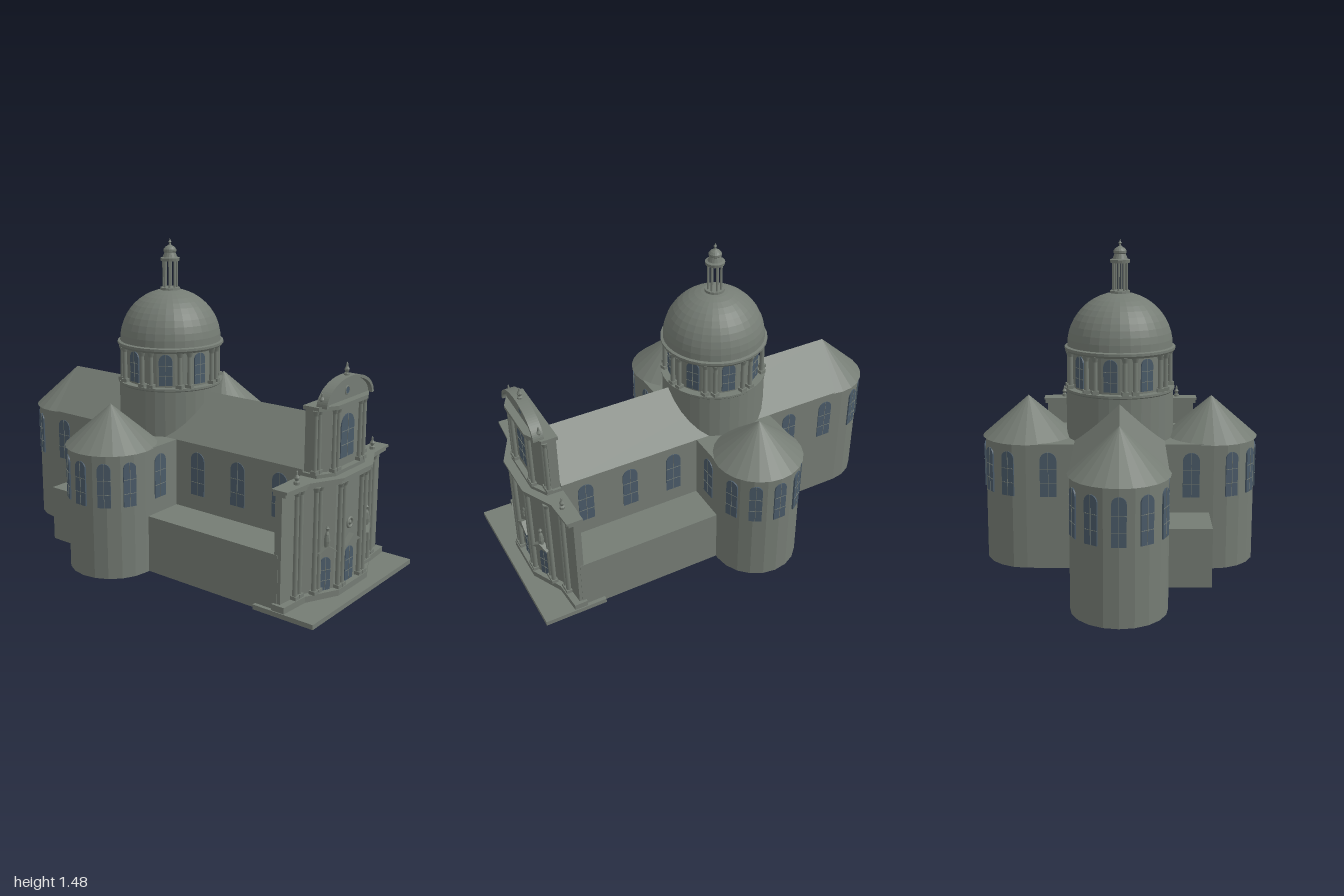
import * as THREE from 'three';

const stone = new THREE.MeshStandardMaterial({ color: 0x757c74 });
stone.name = 'grey stone';
const glass = new THREE.MeshStandardMaterial({ color: 0x4a5a68 });
glass.name = 'blue grey glass';

const YAW = 0.2; // the long axis is turned slightly from x

function add(parent, name, geo, x = 0, y = 0, z = 0, mat = stone) {
  const m = new THREE.Mesh(geo, mat);
  m.name = name;
  m.position.set(x, y, z);
  parent.add(m);
  return m;
}

// faceted normals
function facet(geo) {
  const g = geo.index ? geo.toNonIndexed() : geo;
  g.computeVertexNormals();
  return g;
}

// box given by its limits
function block(parent, name, x0, x1, y0, y1, z0, z1) {
  return add(parent, name, new THREE.BoxGeometry(x1 - x0, y1 - y0, z1 - z0),
    (x0 + x1) / 2, (y0 + y1) / 2, (z0 + z1) / 2);
}

// floor plan [x, z] raised from y0 to y1
function raise(parent, name, plan, y0, y1) {
  const s = new THREE.Shape(plan.map(([x, z]) => new THREE.Vector2(x, -z)));
  const g = new THREE.ExtrudeGeometry(s, { depth: y1 - y0, bevelEnabled: false });
  return add(parent, name, g.rotateX(-Math.PI / 2), 0, y0, 0);
}

// group on a wall whose outward direction is theta from +x toward +z
function onWall(parent, name, x, y, z, theta) {
  const g = new THREE.Group();
  g.name = name;
  g.position.set(x, y, z);
  g.rotation.y = Math.PI / 2 - theta;
  parent.add(g);
  return g;
}

function archGeo(w, h, depth) {
  const s = new THREE.Shape();
  s.moveTo(-w / 2, 0);
  s.lineTo(w / 2, 0);
  s.lineTo(w / 2, h - w / 2);
  s.absarc(0, h - w / 2, w / 2, 0, Math.PI, false);
  return new THREE.ExtrudeGeometry(s, { depth, bevelEnabled: false, curveSegments: 8 });
}

// arched glass with stone glazing bars
function arched(parent, x, y, z, theta, w, h, name = 'window') {
  const g = onWall(parent, name, x, y, z, theta);
  add(g, 'pane', archGeo(w, h, 0.008), 0, 0, -0.004, glass);
  add(g, 'uprightBar', new THREE.BoxGeometry(0.002, h, 0.003), 0, h / 2, 0.004);
  for (const t of [0.3, 0.62]) add(g, 'crossBar', new THREE.BoxGeometry(w, 0.002, 0.003), 0, h * t, 0.004);
}

function column(parent, x, z, y0, y1, r) {
  const h = y1 - y0, g = new THREE.Group();
  g.name = 'column';
  g.position.set(x, y0, z);
  add(g, 'shaft', new THREE.CylinderGeometry(r * 0.88, r, h, 10), 0, h / 2, 0);
  add(g, 'base', new THREE.BoxGeometry(r * 2.6, 0.016, r * 2.6), 0, 0.008, 0);
  add(g, 'capital', new THREE.CylinderGeometry(r * 1.5, r * 0.9, 0.022, 10), 0, h - 0.011, 0);
  parent.add(g);
}

function lathe(parent, name, pts, n, x = 0, y = 0, z = 0) {
  const g = new THREE.LatheGeometry(pts.map(p => new THREE.Vector2(p[0], p[1])), n);
  return add(parent, name, facet(g), x, y, z);
}

const finial = (parent, x, y, z) => lathe(parent, 'finial',
  [[0.013, 0], [0.013, 0.012], [0.006, 0.016], [0.012, 0.03], [0.005, 0.042], [0.004, 0.055], [0, 0.062]], 8, x, y, z);

// rounded end with conical roof and five windows around the outward direction
function apse(parent, name, x, z, theta, top) {
  const g = new THREE.Group();
  g.name = name;
  g.position.set(x, 0, z);
  parent.add(g);
  add(g, 'wall', facet(new THREE.CylinderGeometry(0.203, 0.203, 0.583, 20)), 0, 0.2915, 0);
  add(g, 'coneRoof', facet(new THREE.ConeGeometry(0.212, top - 0.58, 24)), 0, (top + 0.58) / 2, 0);
  for (let i = -2; i <= 2; i++) {
    const a = theta + i * 0.576;
    arched(g, Math.cos(a) * 0.202, 0.34, Math.sin(a) * 0.202, a, 0.06, 0.205);
  }
}

function buildBody(c) {
  // nave with gable roof
  const gable = new THREE.Shape([[-0.203, 0], [0.203, 0], [0.203, 0.583], [0, 0.775], [-0.203, 0.583]]
    .map(p => new THREE.Vector2(...p)));
  add(c, 'nave', new THREE.ExtrudeGeometry(gable, { depth: 1.53, bevelEnabled: false }).rotateY(Math.PI / 2), -0.638);
  apse(c, 'rearApse', -0.638, 0, Math.PI, 0.775);
  block(c, 'transept', -0.203, 0.203, 0, 0.583, -0.42, 0.42);
  for (const s of [-1, 1]) {
    apse(c, 'transeptApse', 0, s * 0.42, s * Math.PI / 2, 0.765);
    for (const u of [-0.536, -0.32, 0.33, 0.556, 0.78]) arched(c, u, 0.34, s * 0.203, s * Math.PI / 2, 0.075, 0.205);
    for (const e of [-1, 1]) arched(c, e * 0.203, 0.34, s * 0.32, e > 0 ? 0 : Math.PI, 0.075, 0.205);
    block(c, 'sideAisle', s > 0 ? -0.423 : 0.1, 0.91, 0, 0.267, Math.min(s * 0.1, s * 0.402), Math.max(s * 0.1, s * 0.402));
  }
}

// stepped plan of the front, mirrored about the long axis
function frontPlan(half, back) {
  return [[back, half[0][1]], ...half, ...half.slice().reverse().map(([x, z]) => [x, -z]), [back, -half[0][1]]];
}

function buildFront(c) {
  const f = new THREE.Group();
  f.name = 'entranceFront';
  c.add(f);
  block(f, 'platform', 0.8, 1.1, 0, 0.022, -0.42, 0.42);
  const low = [[0.925, 0.4], [0.935, 0.27], [0.97, 0.2], [1.01, 0.12]];
  const up = [[0.935, 0.19], [0.98, 0.12]];
  const grow = (p, d) => p.map(([x, z], i) => [x + d, z + (i ? 0 : d * 0.5)]);
  raise(f, 'lowerStorey', frontPlan(low, 0.892), 0.02, 0.54);
  raise(f, 'plinth', frontPlan(grow(low, 0.03), 0.892), 0.02, 0.05);
  raise(f, 'lowerEntablature', frontPlan(grow(low, 0.026), 0.888), 0.527, 0.545);
  raise(f, 'lowerCornice', frontPlan(grow(low, 0.036), 0.885), 0.545, 0.556);
  raise(f, 'upperStorey', frontPlan(up, 0.892), 0.55, 0.855);
  raise(f, 'upperPlinth', frontPlan(grow(up, 0.026), 0.892), 0.555, 0.572);
  raise(f, 'upperCornice', frontPlan(grow(up, 0.03), 0.888), 0.845, 0.862);

  for (const s of [-1, 1]) {
    for (const [x, v] of [[0.943, 0.3], [0.978, 0.208], [1.022, 0.088]])
      for (const d of [-0.016, 0.016]) column(f, x, s * (v + d), 0.05, 0.53, 0.0115);
    for (const [x, v] of [[0.95, 0.185], [0.992, 0.105]])
      for (const d of [-0.015, 0.015]) column(f, x, s * (v + d), 0.572, 0.847, 0.01);
    finial(f, 0.935, 0.556, s * 0.31);
    finial(f, 0.962, 0.862, s * 0.178);
    // side doorway with a niche figure above
    const a = s * 0.464;
    arched(f, 0.991, 0.05, s * 0.16, a, 0.05, 0.15, 'sideDoor');
    const w = onWall(f, 'sideDoorHood', 0.99, 0.23, s * 0.16, a);
    add(w, 'hood', pedimentGeo(0.09, 0.03, 0.028));
    lathe(w, 'figure', [[0.012, 0], [0.014, 0.03], [0.01, 0.06], [0.004, 0.072], [0.009, 0.085], [0, 0.097]], 8, 0, 0.02, 0.012);
  }

  // central doorway, round window and tall upper window
  arched(f, 1.011, 0.05, 0, 0, 0.066, 0.155, 'mainDoor');
  arched(f, 0.981, 0.61, 0, 0, 0.105, 0.19);
  const m = onWall(f, 'doorHood', 1.01, 0.23, 0, 0);
  add(m, 'hood', pedimentGeo(0.115, 0.038, 0.025));
  add(m, 'roundWindowRim', new THREE.TorusGeometry(0.021, 0.006, 8, 20), 0, 0.085, 0.002);
  add(m, 'roundWindowBoss', new THREE.SphereGeometry(0.01, 10, 8), 0, 0.085, 0);

  // segmental pediment with a projecting rim
  const p = onWall(f, 'curvedPediment', 0.945, 0.858, 0, 0);
  add(p, 'field', halfOvalGeo(0.18, 0.095, 0, 0.03));
  add(p, 'rim', halfOvalGeo(0.192, 0.107, 0.014, 0.05));
  add(p, 'oculusRim', new THREE.TorusGeometry(0.017, 0.004, 6, 16), 0, 0.042, 0.03);
  add(p, 'oculus', new THREE.CylinderGeometry(0.016, 0.016, 0.006, 16).rotateX(Math.PI / 2), 0, 0.042, 0.03, glass);
  finial(f, 0.97, 0.96, 0);
}

function pedimentGeo(w, h, depth) {
  const tri = (k, dy) => [[-w / 2 * k, dy], [w / 2 * k, dy], [0, dy + h * k]].map(p => new THREE.Vector2(...p));
  const s = new THREE.Shape(tri(1, 0));
  return new THREE.ExtrudeGeometry(s, { depth, bevelEnabled: false });
}

// half oval plate, or a band of thickness t
function halfOvalGeo(a, b, t, depth) {
  const s = new THREE.Shape();
  s.moveTo(a, 0);
  s.absellipse(0, 0, a, b, 0, Math.PI, false, 0);
  if (t) {
    s.lineTo(-a + t, 0);
    s.absellipse(0, 0, a - t, b - t, Math.PI, 0, true, 0);
  }
  return new THREE.ExtrudeGeometry(s, { depth, bevelEnabled: false, curveSegments: 20 });
}

function buildDome(root) {
  const d = new THREE.Group();
  d.name = 'dome';
  d.position.x = -0.165;
  root.add(d);
  // drum, cornice and hemisphere
  lathe(d, 'drum', [[0.245, 0.4], [0.245, 0.795], [0.25, 0.8], [0.25, 0.81], [0.214, 0.81], [0.214, 0.975],
    [0.245, 0.975], [0.252, 0.985], [0.252, 0.996], [0.235, 1.0]], 32);
  add(d, 'domeShell', facet(new THREE.SphereGeometry(0.24, 32, 12, 0, Math.PI * 2, 0, Math.PI / 2)), 0, 1.0, 0);
  for (let i = 0; i < 8; i++) {
    const a = i * Math.PI / 4, b = a + Math.PI / 8;
    arched(d, Math.cos(b) * 0.214, 0.82, Math.sin(b) * 0.214, b, 0.062, 0.145);
    for (const e of [-0.1, 0.1]) column(d, Math.cos(a + e) * 0.232, Math.sin(a + e) * 0.232, 0.81, 0.977, 0.0115);
  }
  // open lantern
  lathe(d, 'lanternBase', [[0.048, 1.225], [0.046, 1.246], [0, 1.248]], 16);
  for (let i = 0; i < 8; i++) {
    const a = i * Math.PI / 4 + Math.PI / 8;
    add(d, 'lanternColumn', new THREE.CylinderGeometry(0.005, 0.005, 0.13, 8), Math.cos(a) * 0.032, 1.308, Math.sin(a) * 0.032);
  }
  lathe(d, 'lanternCap', [[0, 1.37], [0.044, 1.37], [0.046, 1.384], [0.034, 1.388], [0.026, 1.41], [0.03, 1.414],
    [0.03, 1.424], [0.022, 1.434], [0.006, 1.444], [0.004, 1.452], [0.008, 1.458], [0.003, 1.465], [0, 1.476]], 16);
}

export function createModel() {
  const root = new THREE.Group();
  root.name = 'domedChurch';
  const church = new THREE.Group();
  church.name = 'churchBody';
  church.position.x = -0.165;
  church.rotation.y = -YAW;
  root.add(church);
  buildBody(church);
  buildFront(church);
  buildDome(root);
  return root;
}
